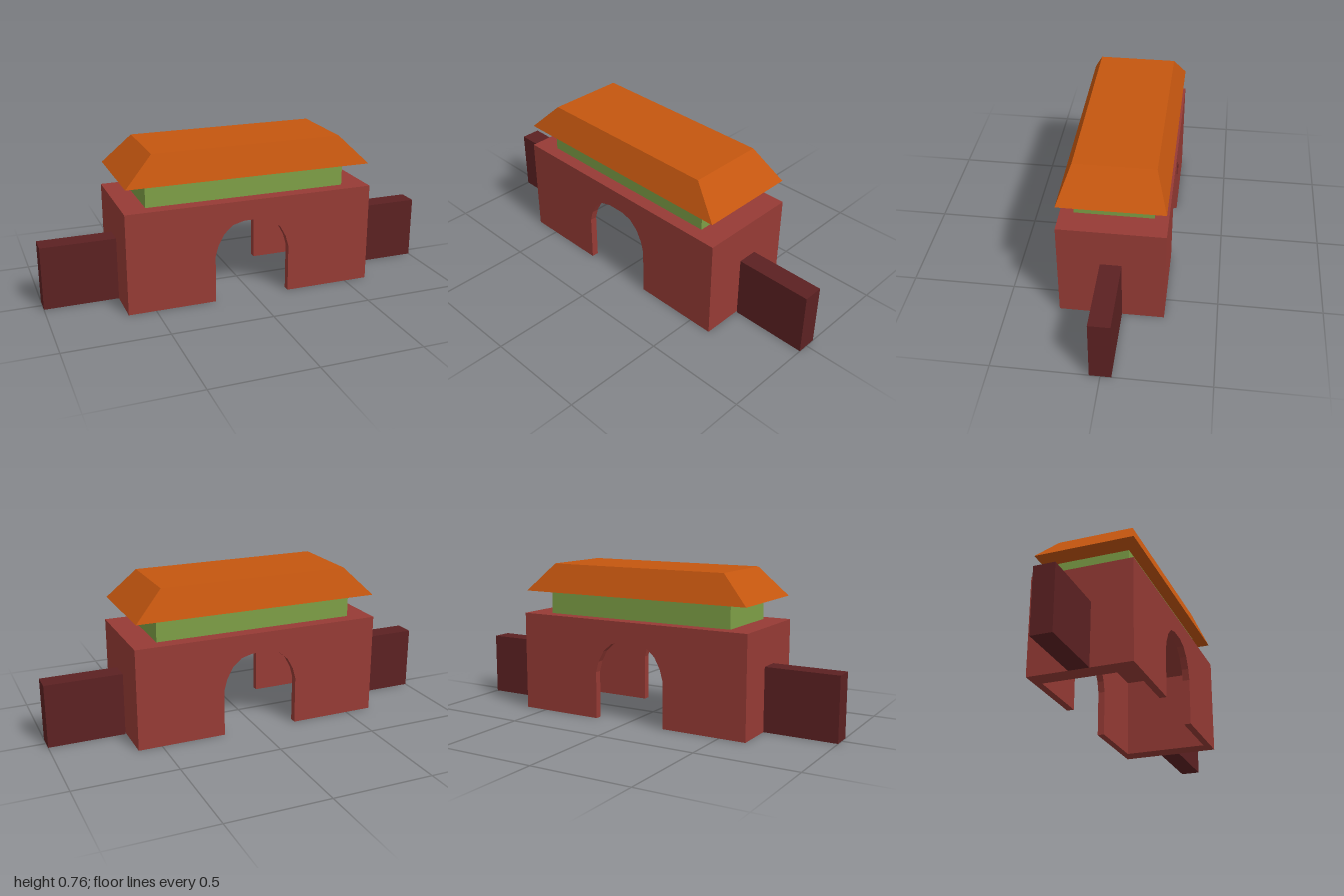
import * as THREE from 'three';

const material = (name, color) => {
  const m = new THREE.MeshStandardMaterial({ color });
  m.name = name;
  return m;
};

export function createModel() {
  const red = material('brick red', 0x963b35);
  const darkRed = material('dark red', 0x5c2122);
  const green = material('green', 0x7e9f46);
  const orange = material('roof orange', 0xc4560f);

  const model = new THREE.Group();
  model.name = 'gatehouse';

  const add = (name, geometry, mat, parent = model) => {
    const mesh = new THREE.Mesh(geometry, mat);
    mesh.name = name;
    parent.add(mesh);
    return mesh;
  };

  // Box given by its limits on each axis
  const box = (x0, x1, y0, y1, z0, z1) =>
    new THREE.BoxGeometry(x1 - x0, y1 - y0, z1 - z0)
      .translate((x0 + x1) / 2, (y0 + y1) / 2, (z0 + z1) / 2);

  // Hollow gate body, open underneath
  const left = -0.635, right = 0.617, top = 0.5, half = 0.25;
  const wall = 0.035, endWall = 0.09, ceiling = 0.42;
  const body = new THREE.Group();
  body.name = 'gateBody';
  model.add(body);

  // Half of the arch outline, from foot to crown: offset from its middle, height
  const archMiddle = -0.01;
  const arch = [[0.19, 0], [0.19, 0.235], [0.175, 0.29], [0.145, 0.345], [0.1, 0.385], [0.043, 0.4]];
  const face = new THREE.Shape();
  face.moveTo(left, 0);
  arch.forEach(([x, y]) => face.lineTo(archMiddle - x, y));
  [...arch].reverse().forEach(([x, y]) => face.lineTo(archMiddle + x, y));
  face.lineTo(right, 0);
  face.lineTo(right, top);
  face.lineTo(left, top);
  face.closePath();

  for (const [name, z] of [['frontWall', half - wall], ['backWall', -half]]) {
    const geometry = new THREE.ExtrudeGeometry(face, { depth: wall, bevelEnabled: false });
    add(name, geometry.translate(0, 0, z), red, body);
  }
  const inner = half - wall;
  add('rightEndWall', box(left, left + endWall, 0, top, -inner, inner), red, body);
  add('leftEndWall', box(right - endWall, right, 0, top, -inner, inner), red, body);
  add('ceiling', box(left + endWall, right - endWall, ceiling, top, -inner, inner), red, body);

  // Low walls on both sides
  add('rightSideWall', box(-1, left, 0, 0.315, -0.05, 0.05), darkRed);
  add('leftSideWall', box(0.622, 1, 0, 0.315, -0.05, 0.05), darkRed);

  // Upper storey
  add('upperStorey', box(-0.52, 0.492, top, 0.616, -0.185, 0.185), green);

  // Hipped roof with a flat top: a box whose upper corners move inwards
  const roof = new THREE.BoxGeometry(1.23, 0.141, 0.493);
  const p = roof.attributes.position;
  for (let i = 0; i < p.count; i++) {
    if (p.getY(i) > 0) {
      p.setX(i, Math.sign(p.getX(i)) * 0.475);
      p.setZ(i, Math.sign(p.getZ(i)) * 0.19);
    }
  }
  roof.computeVertexNormals();
  add('roof', roof.translate(-0.01, 0.6865, 0), orange);

  return model;
}
